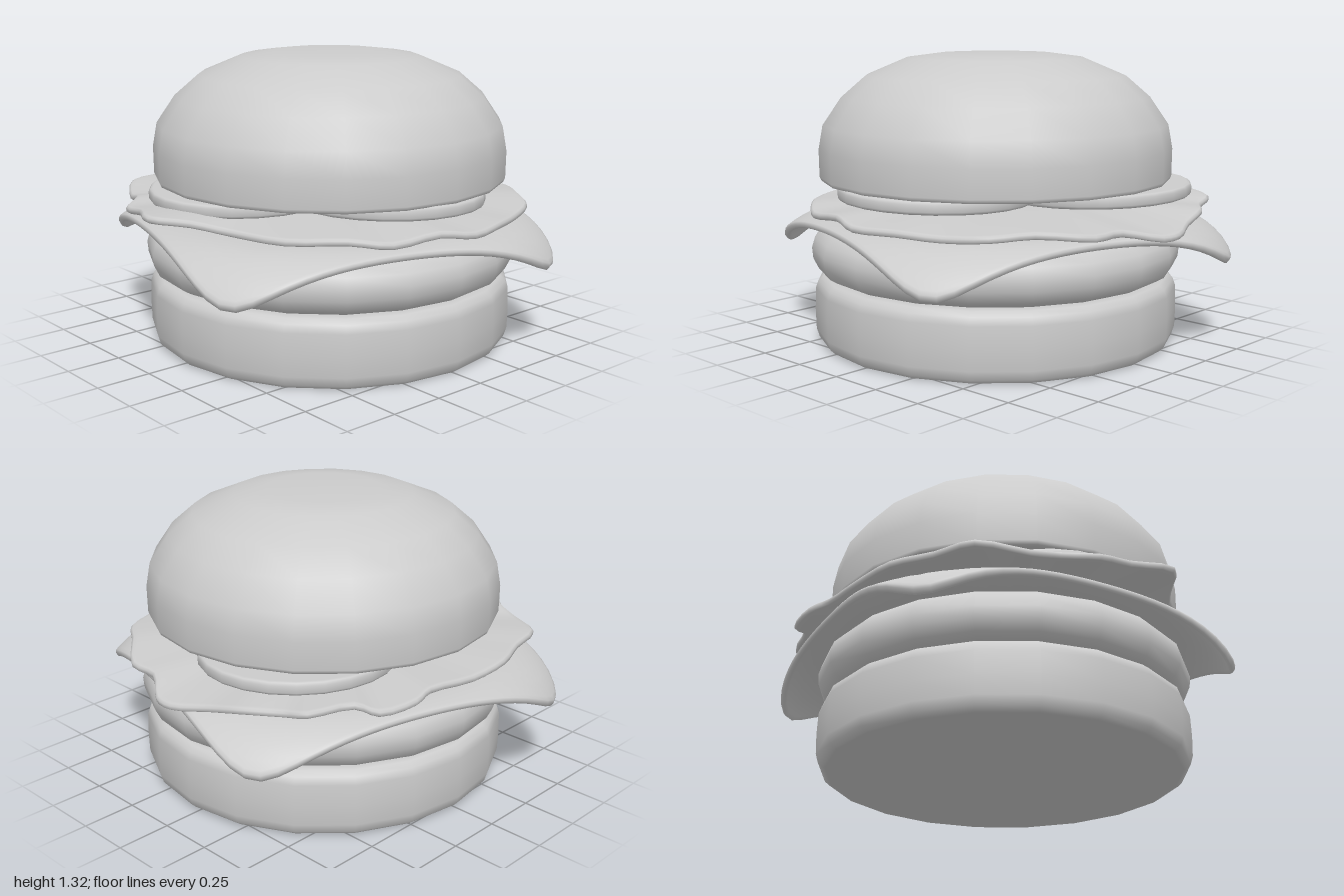
import * as THREE from 'three';
import { mergeVertices } from 'three/addons/utils/BufferGeometryUtils.js';

const material = new THREE.MeshStandardMaterial({ color: 0xcccccc });
const SIDES = 20;

function addMesh(group, name, geometry) {
  const mesh = new THREE.Mesh(geometry, material);
  mesh.name = name;
  group.add(mesh);
  return mesh;
}

// Round layer turned from a profile of [radius, height] points
function turned(profile, sides = SIDES) {
  return new THREE.LatheGeometry(profile.map(([r, y]) => new THREE.Vector2(r, y)), sides);
}

// Thin closed sheet: a unit disc whose vertices are moved by place(u, t, h)
// u = fraction around, t = 0 centre to 1 rim, h = height within the thickness
function sheet(thickness, around, place) {
  const h = thickness / 2;
  const steps = [0, 0.25, 0.5, 0.62, 0.7, 0.76, 0.82, 0.88, 0.93, 0.97, 0.99];
  const profile = [
    ...steps.map((t) => [t, -h]), [1, -h * 0.5], [1, h * 0.5],
    ...steps.slice().reverse().map((t) => [t, h]),
  ];
  const geometry = turned(profile, around);
  const { position, uv } = geometry.attributes;
  for (let i = 0; i < position.count; i++) {
    const t = profile[i % profile.length][0];
    const p = place(uv.getX(i) % 1, t, position.getY(i));
    position.setXYZ(i, p.x, p.y, p.z);
  }
  geometry.deleteAttribute('uv');
  geometry.deleteAttribute('normal');
  const welded = mergeVertices(geometry, 1e-5);
  welded.computeVertexNormals();
  return welded;
}

// Square slice with rounded corners that bend down past the patty
function cheeseGeometry() {
  const turn = 0.29;
  const half = 0.87;
  return sheet(0.03, 96, (u, t, h) => {
    const a = u * Math.PI * 2;
    const c = Math.abs(Math.cos(a + turn));
    const s = Math.abs(Math.sin(a + turn));
    const flat = t * half / Math.pow(c ** 10 + s ** 10, 0.1);
    const bend = Math.max(0, flat - 0.76) / 0.39;
    const r = Math.min(flat, 0.76) + 0.31 * Math.sin(bend * 1.25) / Math.sin(1.25);
    const y = 0.575 - 0.18 * (1 - Math.cos(bend * 1.4)) / (1 - Math.cos(1.4));
    const lean = h * Math.sin(Math.min(bend, 1) * 0.9);
    return new THREE.Vector3(
      (r + lean) * Math.sin(a), y + h, (r + lean) * Math.cos(a));
  });
}

// Ragged leaf: rim points as x, height, z
function lettuceGeometry() {
  const rim = [
    [-1, 0.685, 0.03], [-0.92, 0.67, -0.16], [-0.89, 0.65, -0.32], [-0.77, 0.66, -0.43],
    [-0.72, 0.64, -0.56], [-0.59, 0.66, -0.75], [-0.4, 0.66, -0.8], [-0.21, 0.66, -0.87],
    [0, 0.65, -0.87], [0.24, 0.66, -0.83], [0.35, 0.65, -0.85], [0.52, 0.64, -0.8],
    [0.57, 0.66, -0.71], [0.75, 0.65, -0.62], [0.78, 0.63, -0.51], [0.88, 0.63, -0.37],
    [0.92, 0.6, -0.21], [0.99, 0.58, -0.05], [0.98, 0.58, 0.05], [0.88, 0.61, 0.2],
    [0.87, 0.61, 0.36], [0.72, 0.63, 0.56], [0.61, 0.62, 0.71], [0.43, 0.61, 0.8],
    [0.24, 0.62, 0.88], [0.03, 0.62, 0.93], [-0.13, 0.64, 0.88], [-0.35, 0.62, 0.83],
    [-0.5, 0.64, 0.72], [-0.67, 0.63, 0.53], [-0.77, 0.64, 0.3], [-0.88, 0.67, 0.16],
  ];
  const curve = new THREE.CatmullRomCurve3(
    rim.map((p) => new THREE.Vector3(...p)), true, 'centripetal');
  return sheet(0.03, 96, (u, t, h) => {
    const p = curve.getPoint(1 - u);
    const y = THREE.MathUtils.lerp(0.66, p.y, t * t);
    return new THREE.Vector3(p.x * t, y + h, p.z * t);
  });
}

export function createModel() {
  const model = new THREE.Group();
  model.name = 'burger';

  // Lower bun
  addMesh(model, 'bottomBun', turned([
    [0, 0], [0.8, 0], [0.81, 0.002], [0.83, 0.02], [0.842, 0.06], [0.845, 0.15],
    [0.842, 0.25], [0.83, 0.285], [0.805, 0.305], [0.78, 0.31], [0, 0.31],
  ])).position.z = 0.03;

  // Patty
  addMesh(model, 'patty', turned([
    [0, 0.3], [0.75, 0.305], [0.79, 0.32], [0.825, 0.34], [0.85, 0.39], [0.855, 0.44],
    [0.84, 0.49], [0.8, 0.53], [0.73, 0.555], [0, 0.56],
  ])).position.z = 0.03;

  addMesh(model, 'cheese', cheeseGeometry());
  addMesh(model, 'lettuce', lettuceGeometry());

  // Overlapping tomato slices, each slightly tilted: x, y, z, tilt x, tilt z
  const slice = turned([
    [0, -0.03], [0.42, -0.03], [0.432, -0.026], [0.44, -0.015],
    [0.44, 0.015], [0.432, 0.026], [0.42, 0.03], [0, 0.03],
  ], 24);
  [
    [-0.39, 0.707, -0.1, 0, 0.02],
    [0.4, 0.71, -0.21, 0.02, 0.01],
    [0, 0.715, 0.41, -0.01, -0.02],
  ].forEach(([x, y, z, tiltX, tiltZ], i) => {
    const tomato = addMesh(model, `tomatoSlice${i + 1}`, slice);
    tomato.position.set(x, y, z);
    tomato.rotation.set(tiltX, 0, tiltZ);
  });

  // Domed upper bun
  addMesh(model, 'topBun', turned([
    [0, 0.745], [0.79, 0.745], [0.805, 0.748], [0.813, 0.765], [0.815, 0.89],
    [0.795, 1.0], [0.71, 1.125], [0.6, 1.22], [0.41, 1.3], [0.26, 1.32], [0, 1.322],
  ])).position.z = 0.03;

  return model;
}
